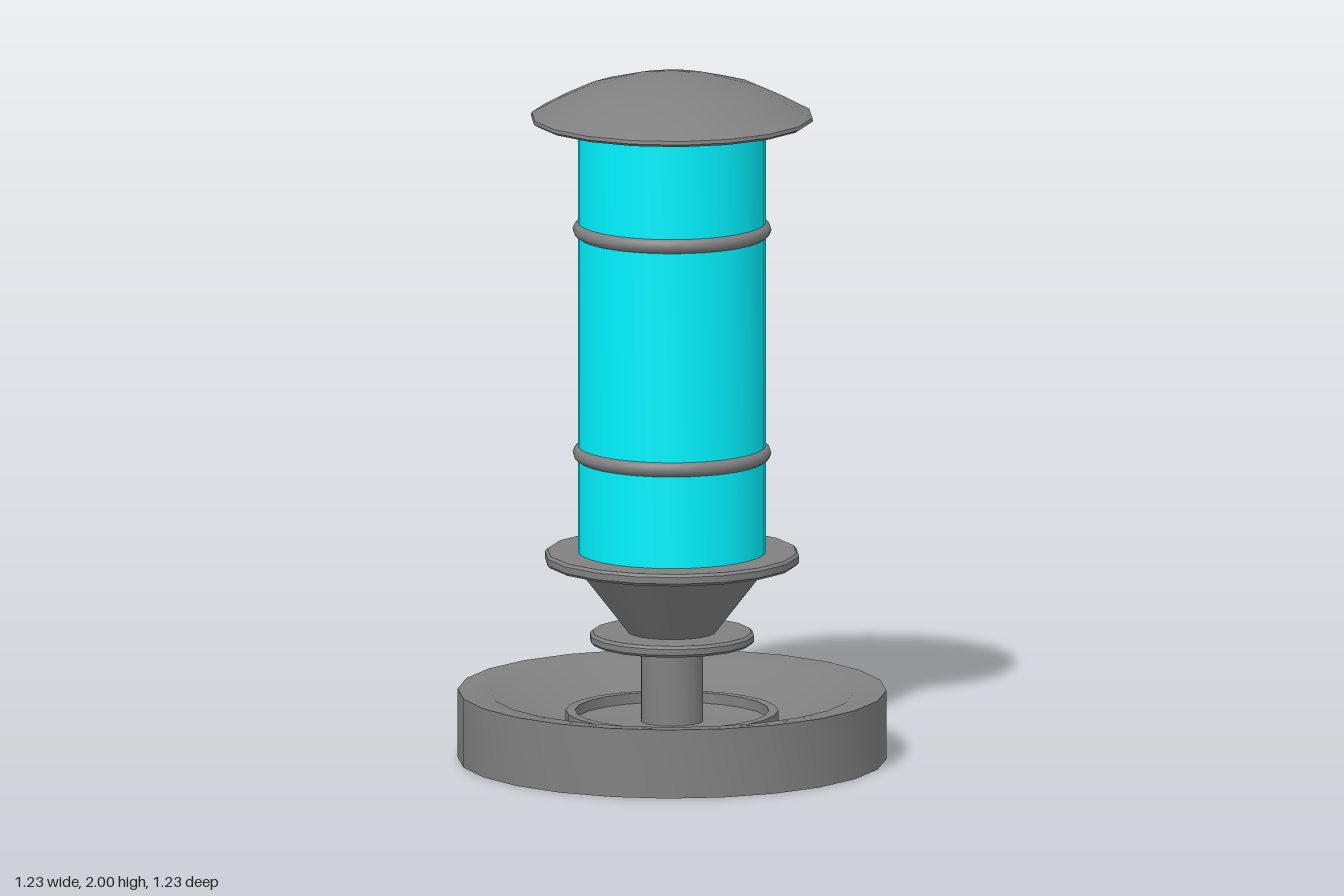
import * as THREE from 'three';
import { toCreasedNormals } from 'three/addons/utils/BufferGeometryUtils.js';

const grey = new THREE.MeshStandardMaterial({ color: 0x808080 });
const greyThin = new THREE.MeshStandardMaterial({ color: 0x808080, side: THREE.DoubleSide });
const cyan = new THREE.MeshStandardMaterial({ color: 0x00f3ff, side: THREE.DoubleSide });

export function createModel() {
  const model = new THREE.Group();
  model.name = 'birdFeeder';

  // Turned part from [radius, height] points, running up the outside
  function turned(name, points, sides, material = grey) {
    const profile = points.map(([r, y]) => new THREE.Vector2(r, y));
    const lathe = new THREE.LatheGeometry(profile, sides).rotateY(Math.PI / 2);
    const mesh = new THREE.Mesh(toCreasedNormals(lathe, Math.PI / 5.5), material);
    mesh.name = name;
    model.add(mesh);
  }

  // Flat disc with softened edges
  function disc(name, radius, bottom, top) {
    const b = 0.008;
    turned(name, [
      [0, bottom], [radius - b, bottom], [radius, bottom + b],
      [radius, top - b], [radius - b, top], [0, top],
    ], 18);
  }

  // Seed dish: thin shell, open underneath
  turned('dish', [
    [0.615, 0], [0.615, 0.2], [0.52, 0.19], [0.38, 0.11], [0.085, 0.11],
  ], 24, greyThin);

  // Raised ring on the dish floor, showing on both faces
  turned('dishRing', [
    [0.278, 0.095], [0.305, 0.095], [0.305, 0.14], [0.278, 0.14], [0.278, 0.095],
  ], 24);

  // Hollow post, passing through the dish floor
  turned('post', [[0.09, 0.055], [0.09, 0.35]], 18, greyThin);

  // Collar, funnel and perch
  disc('collar', 0.237, 0.337, 0.37);
  turned('funnel', [[0, 0.355], [0.115, 0.355], [0.29, 0.58], [0, 0.58]], 24);
  disc('perch', 0.367, 0.57, 0.605);

  // Seed tube
  turned('seedTube', [[0.27, 0.59], [0.27, 1.87]], 32, cyan);

  // Bands round the tube
  for (const [name, y] of [['lowerBand', 0.893], ['upperBand', 1.545]]) {
    const band = new THREE.Mesh(new THREE.TorusGeometry(0.263, 0.022, 10, 32), grey);
    band.rotation.x = Math.PI / 2;
    band.position.y = y;
    band.name = name;
    model.add(band);
  }

  // Domed cap
  turned('cap', [
    [0, 1.845], [0.27, 1.845], [0.395, 1.86], [0.407, 1.868], [0.405, 1.878],
    [0.33, 1.918], [0.25, 1.955], [0.13, 1.986], [0.05, 1.998], [0, 2],
  ], 18);

  return model;
}
